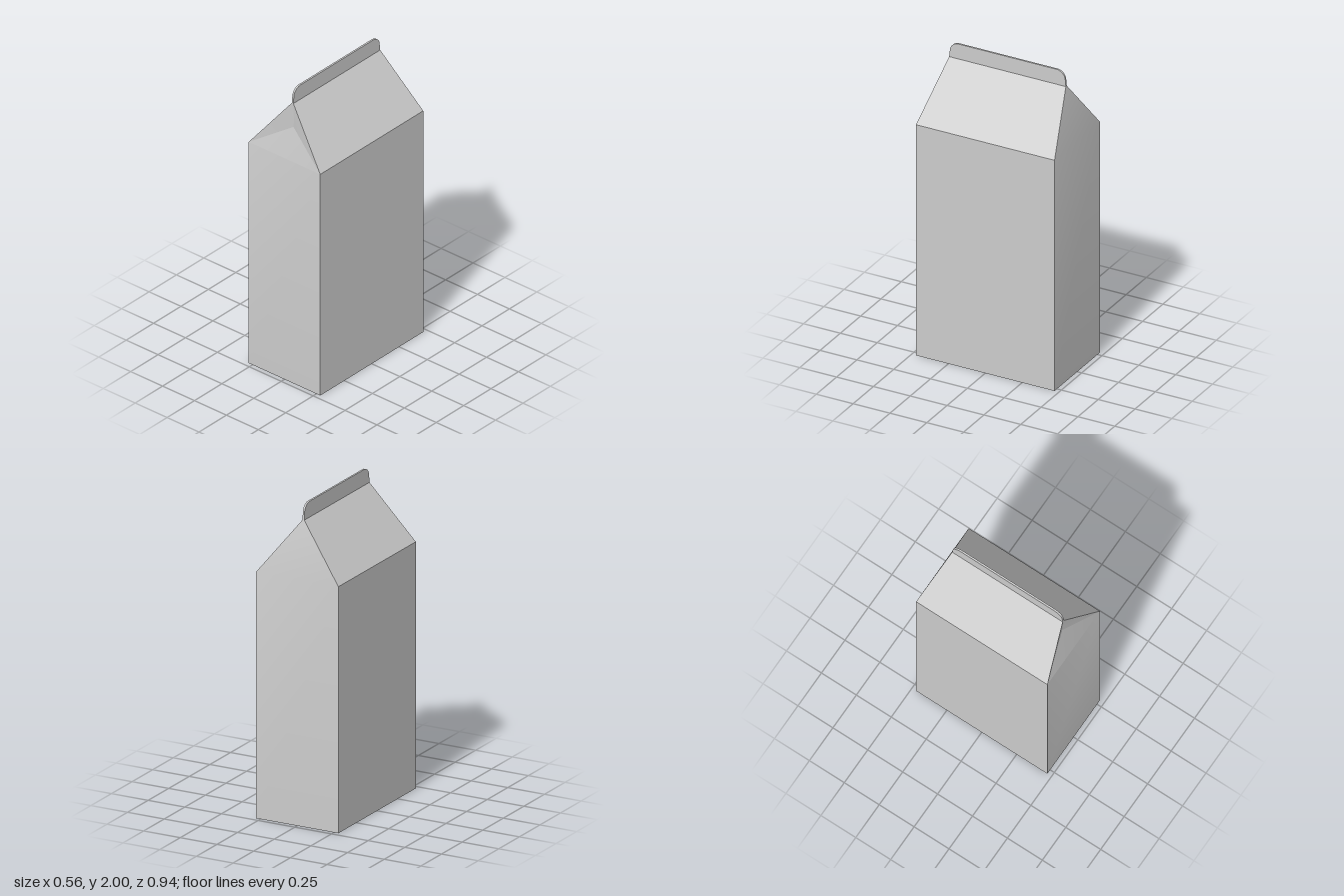
import * as THREE from 'three';
import { toCreasedNormals } from 'three/addons/utils/BufferGeometryUtils.js';

const W = 0.28, D = 0.47;            // half width and half depth of the carton
const SHOULDER = 1.55, RIDGE = 1.9, TOP = 2;
const RIDGE_D = 0.396, FIN = 0.006;  // half length and half thickness of the sealed fin
const CREASE = Math.PI / 6;

const material = new THREE.MeshStandardMaterial({ color: 0xcccccc });

function addMesh(group, name, geometry) {
  const mesh = new THREE.Mesh(toCreasedNormals(geometry, CREASE), material);
  mesh.name = name;
  group.add(mesh);
}

// Four corners, counter-clockwise from above, starting front left
const ring = (w, y, d) => [[-w, y, d], [w, y, d], [w, y, -d], [-w, y, -d]];

function cartonGeometry() {
  const points = [
    ...ring(W, 0, D),
    ...ring(W, SHOULDER, D),
    ...ring(FIN, RIDGE, RIDGE_D),
    [0, 1.73, 0.388],                // pushed-in point of the front gable
  ];
  const index = [0, 2, 1, 0, 3, 2];  // base
  const quad = (a, b, c, d) => index.push(a, b, c, a, c, d);

  for (let i = 0; i < 4; i++) {
    const j = (i + 1) % 4;
    quad(i, j, 4 + j, 4 + i);        // wall
    if (i > 0) quad(4 + i, 4 + j, 8 + j, 8 + i); // roof slopes and back gable
  }
  // Front gable folds in around the pushed-in point
  const loop = [4, 5, 9, 8];
  loop.forEach((p, i) => index.push(p, loop[(i + 1) % 4], 12));
  quad(8, 9, 10, 11);                // ridge strip under the fin

  const geometry = new THREE.BufferGeometry();
  geometry.setAttribute('position', new THREE.Float32BufferAttribute(points.flat(), 3));
  geometry.setIndex(index);
  return geometry;
}

// Thin upright fin with rounded upper corners
function finGeometry() {
  const r = 0.06, e = 0.392;
  const shape = new THREE.Shape();
  shape.moveTo(-RIDGE_D, RIDGE);
  shape.lineTo(RIDGE_D, RIDGE);
  shape.lineTo(e, TOP - r);
  shape.absarc(e - r, TOP - r, r, 0, Math.PI / 2, false);
  shape.lineTo(-e + r, TOP);
  shape.absarc(-e + r, TOP - r, r, Math.PI / 2, Math.PI, false);
  shape.closePath();
  return new THREE.ExtrudeGeometry(shape, { depth: FIN * 2, bevelEnabled: false, curveSegments: 8 })
    .translate(0, 0, -FIN)
    .rotateY(Math.PI / 2);
}

export function createModel() {
  const group = new THREE.Group();
  group.name = 'carton';
  addMesh(group, 'cartonBody', cartonGeometry());
  addMesh(group, 'topFin', finGeometry());
  return group;
}
